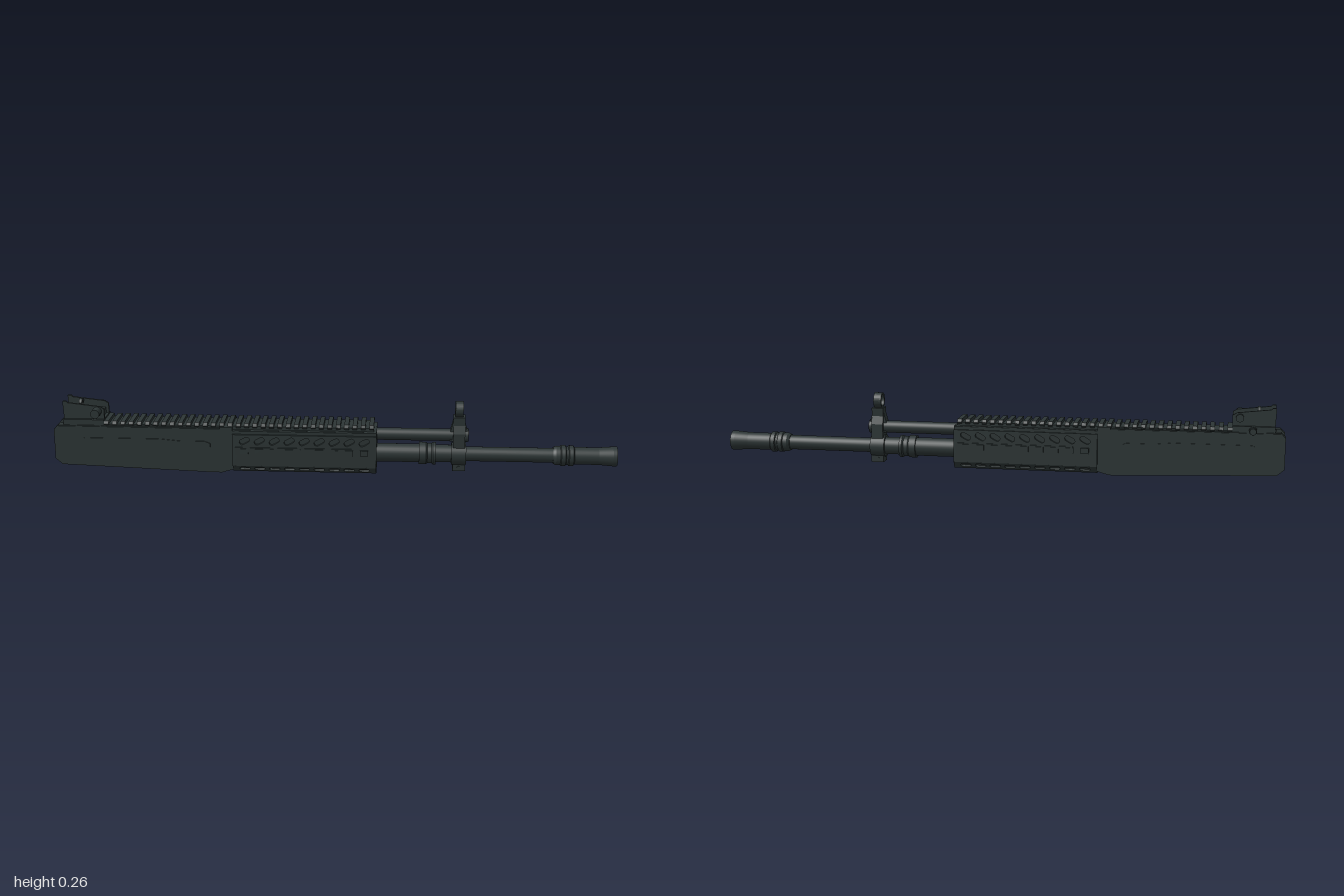
import * as THREE from 'three';

export function createModel() {
  const metal = new THREE.MeshStandardMaterial({ color: 0x2d3636, side: THREE.DoubleSide });
  metal.name = 'gunmetal';
  const dark = new THREE.MeshStandardMaterial({ color: 0x121515, side: THREE.DoubleSide });
  dark.name = 'black';
  const model = new THREE.Group();
  model.name = 'rifleUpper';

  const add = (name, geo, x = 0, y = 0, z = 0, parent = model, mat = metal) => {
    const m = new THREE.Mesh(geo, mat);
    m.name = name;
    m.position.set(x, y, z);
    parent.add(m);
    return m;
  };
  const box = (name, x0, x1, y0, y1, z0, z1, parent) => add(name,
    new THREE.BoxGeometry(x1 - x0, y1 - y0, z1 - z0), (x0 + x1) / 2, (y0 + y1) / 2, (z0 + z1) / 2, parent);
  const poly = pts => new THREE.Shape(pts.map(p => new THREE.Vector2(...p)));
  const mirror = pts => [...pts, ...pts.slice().reverse().map(([a, b]) => [-a, b])];
  const ext = (shape, depth) => new THREE.ExtrudeGeometry(shape, { depth, bevelEnabled: false, curveSegments: 16 });
  // Side outline (x, y) extruded across z
  const plate = (name, pts, z0, z1, parent) => add(name, ext(poly(pts), z1 - z0), 0, 0, z0, parent);
  // Cross-section (z, y) extruded along x
  const section = (name, shape, x0, x1) => add(name, ext(shape, x1 - x0).rotateY(Math.PI / 2), x0);
  // Turned part along x from [x, radius] points
  const turned = (name, pts, y) => {
    const creased = [];
    pts.forEach((p, i) => { creased.push(p); if (i && i < pts.length - 1) creased.push(p); });
    const geo = new THREE.LatheGeometry(creased.map(([x, r]) => new THREE.Vector2(r, x)), 32);
    return add(name, geo.rotateZ(-Math.PI / 2), 0, y);
  };
  const knob = (name, x, y, z0, z1, r, sides = 20) => add(name,
    new THREE.CylinderGeometry(r, r, z1 - z0, sides).rotateX(Math.PI / 2), x, y, (z0 + z1) / 2);
  const capsule = (cx, cy, half, r, tilt = 0) => {
    const path = new THREE.Path();
    for (let i = 0; i <= 16; i++) {
      const a = i / 16 * Math.PI * 2;
      const px = Math.cos(a) * r + Math.sign(Math.round(Math.cos(a) * 100)) * half, py = Math.sin(a) * r;
      const X = cx + px * Math.cos(tilt) - py * Math.sin(tilt), Y = cy + px * Math.sin(tilt) + py * Math.cos(tilt);
      i ? path.lineTo(X, Y) : path.moveTo(X, Y);
    }
    return path;
  };

  // Rear body: two walls with an open channel between them
  const wall = [[-1, 0.045], [-0.975, 0.026], [-0.42, 0.012], [-0.36, 0.014],
    [-0.36, 0.168], [-0.985, 0.17], [-1, 0.155]];
  const skin = [[-1, 0.045], [-0.975, 0.024], [-0.43, 0.004], [-0.4, 0.004], [-0.36, 0.016],
    [-0.36, 0.166], [-0.985, 0.168], [-1, 0.155]];
  for (const s of [1, -1]) {
    plate('bodyWall', wall, s > 0 ? 0.027 : -0.058, s > 0 ? 0.058 : -0.027);
    plate('bodySkin', skin, s > 0 ? 0.058 : -0.062, s > 0 ? 0.062 : -0.058);
    // Long raised outline with a wider front end
    plate('sideRelief', [[-0.9, 0.1], [-0.62, 0.1], [-0.55, 0.09], [-0.46, 0.09], [-0.44, 0.1], [-0.44, 0.112],
      [-0.46, 0.12], [-0.55, 0.12], [-0.62, 0.126], [-0.89, 0.126], [-0.9, 0.12]],
      s > 0 ? 0.062 : -0.0645, s > 0 ? 0.0645 : -0.062);
    box('joinBand', -0.405, -0.36, 0.13, 0.174, s > 0 ? 0.05 : -0.066, s > 0 ? 0.066 : -0.05);
  }
  box('bodyDeck', -0.97, -0.36, 0.12, 0.168, -0.03, 0.03);

  // Handguard core with the bore through it
  const core = poly(mirror([[0.05, 0.01], [0.064, 0.036], [0.074, 0.15], [0.062, 0.162]]
    .map(([z, y]) => [y > 0.1 ? Math.min(z, 0.064) : z, y])));
  core.holes.push(new THREE.Path().absarc(0, 0.07, 0.024, 0, Math.PI * 2));
  section('handguardCore', core, -0.36, 0.15);

  // Slotted handguard side panels
  const panel = (w, h, holes) => {
    const s = poly([[-w / 2, -h / 2], [w / 2, -h / 2], [w / 2, h / 2], [-w / 2, h / 2]]);
    s.holes.push(...holes);
    return ext(s, 0.01).translate(0, 0, -0.01);
  };
  const slots = Array.from({ length: 9 }, (_, i) => (i - 4) * 0.053);
  for (const turn of [0, Math.PI]) {
    const side = new THREE.Group();
    side.name = 'handguardSide';
    side.position.x = -0.105;
    side.rotation.y = turn;
    model.add(side);
    add('sidePanel', panel(0.51, 0.116, slots.map(x =>
      capsule(x, 0.035, 0.009, 0.01, turn ? -0.5 : 0.5))), 0, 0.092, 0.074, side);
    const lower = add('lowerPanel', panel(0.51, 0.029, slots.map(x => capsule(x, 0, 0.012, 0.007))),
      0, 0.022, 0.066, side);
    lower.rotation.x = Math.atan2(0.016, 0.024);
    plate('topEdge', [[-0.255, 0.15], [0.255, 0.15], [0.255, 0.161], [-0.255, 0.161]], 0.056, 0.067, side);
    box('sideStrip', -0.245, 0.17, 0.076, 0.104, 0.074, 0.078, side);
    for (const x of slots) box('stripRib', x - 0.014, x + 0.014, 0.08, 0.1, 0.074, 0.082, side);
  }

  // Toothed top rail
  box('railBase', -0.82, 0.14, 0.16, 0.174, -0.05, 0.05);
  const tooth = ext(poly(mirror([[0.05, 0.168], [0.056, 0.175], [0.05, 0.185]])), 0.016).rotateY(Math.PI / 2);
  for (let i = 0; i < 33; i++) add('railTooth', tooth, -0.82 + i * 0.0295);

  // Barrel and muzzle device, both open through the bore
  turned('barrel', [[0.14, 0.024], [0.14, 0.033], [0.3, 0.033], [0.3, 0.04], [0.325, 0.04], [0.33, 0.036],
    [0.345, 0.036], [0.35, 0.04], [0.36, 0.04], [0.36, 0.031], [0.42, 0.031], [0.42, 0.026],
    [0.78, 0.026], [0.78, 0.024], [0.14, 0.024]], 0.07);
  turned('muzzleDevice', [[0.775, 0.024], [0.775, 0.029], [0.785, 0.034], [0.8, 0.034], [0.803, 0.037],
    [0.818, 0.037], [0.821, 0.033], [0.828, 0.033], [0.831, 0.037], [0.846, 0.037], [0.85, 0.031],
    [0.935, 0.031], [0.985, 0.035], [1, 0.035], [1, 0.028], [0.96, 0.024], [0.775, 0.024]], 0.07);

  // Gas tube above the barrel
  turned('gasTube', [[0.14, 0], [0.14, 0.022], [0.44, 0.022], [0.465, 0.025], [0.472, 0.025], [0.472, 0]], 0.14);
  add('gasTubePlug', new THREE.CylinderGeometry(0.023, 0.023, 0.004, 24).rotateZ(Math.PI / 2),
    0.4725, 0.14, 0, model, dark);

  // Front sight: clamp, tapered tower, hooded post
  turned('sightClamp', [[0.415, 0.026], [0.415, 0.04], [0.467, 0.04], [0.467, 0.026]], 0.07);
  section('sightTower', poly(mirror([[0.03, 0.1], [0.03, 0.152], [0.02, 0.18], [0.022, 0.21], [0.01, 0.21]])), 0.42, 0.462);
  plate('towerWeb', [[0.408, 0.12], [0.472, 0.12], [0.472, 0.15], [0.456, 0.21], [0.424, 0.21], [0.408, 0.15]], -0.016, 0.016);
  box('sightLug', 0.42, 0.465, 0.012, 0.036, -0.023, 0.023);
  knob('lugPin', 0.442, 0.024, -0.026, 0.026, 0.007, 12);
  const hood = new THREE.Shape().absarc(0, 0.236, 0.028, 0, Math.PI * 2);
  hood.holes.push(new THREE.Path().absarc(0, 0.236, 0.021, 0, Math.PI * 2));
  section('sightHood', hood, 0.426, 0.454);
  add('sightPost', new THREE.CylinderGeometry(0.004, 0.006, 0.035, 10), 0.44, 0.222);

  // Rear sight: clamped base, two wings, aperture and adjusters
  box('rearSightBase', -0.965, -0.82, 0.165, 0.19, -0.054, 0.054);
  box('rearSightBlock', -0.95, -0.83, 0.19, 0.212, -0.034, 0.034);
  for (const s of [1, -1]) {
    plate('rearSightWing', [[-0.965, 0.19], [-0.82, 0.188], [-0.82, 0.226], [-0.835, 0.235],
      [-0.95, 0.248], [-0.955, 0.253], [-0.968, 0.253]], s > 0 ? 0.034 : -0.042, s > 0 ? 0.042 : -0.034);
  }
  const aperture = new THREE.Shape().absarc(0, 0.236, 0.018, 0, Math.PI * 2);
  aperture.holes.push(new THREE.Path().absarc(0, 0.236, 0.008, 0, Math.PI * 2));
  section('aperture', aperture, -0.915, -0.905);
  box('apertureStem', -0.925, -0.895, 0.205, 0.222, -0.012, 0.012);
  knob('windageKnob', -0.845, 0.218, 0.04, 0.081, 0.016);
  knob('windageCap', -0.845, 0.218, -0.058, -0.04, 0.014, 12);
  knob('clampScrew', -0.89, 0.176, -0.081, -0.05, 0.012, 8);
  knob('clampNut', -0.89, 0.176, -0.068, -0.054, 0.015, 6);

  return model;
}
